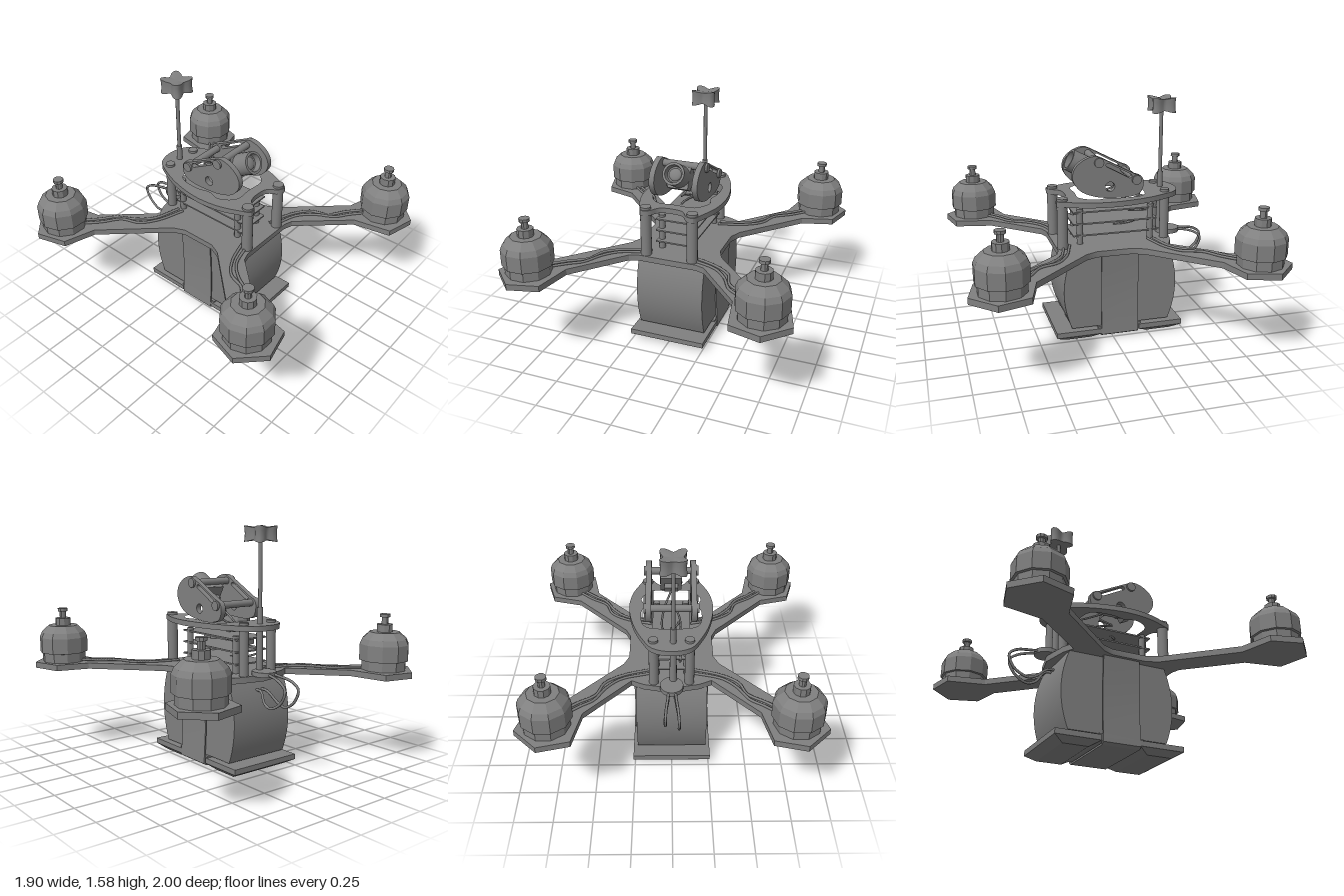
import * as THREE from 'three';
import { toCreasedNormals } from 'three/addons/utils/BufferGeometryUtils.js';

const grey = new THREE.MeshStandardMaterial({ color: 0x808080 });
const facet = new THREE.MeshStandardMaterial({ color: 0x808080, flatShading: true });
const V2 = (p) => new THREE.Vector2(...p);
const V3 = (p) => new THREE.Vector3(...p);

export function createModel() {
  const root = new THREE.Group();

  function add(name, geo, pos = [0, 0, 0], mat = grey, parent = root) {
    const m = new THREE.Mesh(geo, mat);
    m.name = name;
    m.position.set(...pos);
    parent.add(m);
    return m;
  }
  const cyl = (r, h, n = 16, r2 = r) => new THREE.CylinderGeometry(r2, r, h, n);
  const box = (w, h, d) => new THREE.BoxGeometry(w, h, d);
  const extrude = (shape, depth) =>
    toCreasedNormals(new THREE.ExtrudeGeometry(shape, { depth, bevelEnabled: false, curveSegments: 12 }), 0.5);
  // outline in x,z laid flat with its upper face at y = top
  const flat = (shape, top, t) => extrude(shape, t).rotateX(Math.PI / 2).translate(0, top, 0);
  // outline in z,y with its thickness centred on x
  const upright = (shape, t) => extrude(shape, t).rotateY(-Math.PI / 2).translate(t / 2, 0, 0);
  const mirrorX = (half) => [...half, ...half.slice().reverse().filter((p) => p[0] > 0).map(([x, z]) => [-x, z])];
  const smooth = (pts, closed, n) =>
    new THREE.CatmullRomCurve3(pts.map(([a, b]) => V3([a, b, 0])), closed).getPoints(n).map((p) => V2([p.x, p.y]));
  function wire(name, pts, r = 0.009) {
    add(name, new THREE.TubeGeometry(new THREE.CatmullRomCurve3(pts.map(V3)), 40, r, 6));
  }

  // X-shaped base plate with a pad at the end of each arm
  const quarter = [[0.26, 0.38], [0.55, 0.7], [0.6, 0.95], [0.8, 1], [0.95, 0.85], [0.89, 0.65],
    [0.68, 0.59], [0.32, 0.2], [0.285, 0.12]];
  const half = [[0, 0.36], [0.2, 0.36], ...quarter,
    ...quarter.slice().reverse().map(([x, z]) => [x, -z]), [0.18, -0.42], [0, -0.46]];
  add('basePlate', flat(new THREE.Shape(mirrorX(half).map(V2)), 0.64, 0.04));

  // Ring-shaped top plate
  const top = new THREE.Shape(smooth(mirrorX([[0, 0.27], [0.08, 0.285], [0.13, 0.35], [0.18, 0.36], [0.21, 0.3],
    [0.26, 0.17], [0.28, 0], [0.25, -0.2], [0.19, -0.36], [0.12, -0.47], [0, -0.505]]), true, 80));
  top.holes.push(new THREE.Path(smooth(mirrorX([[0, 0.2], [0.13, 0.2], [0.2, 0.1], [0.18, 0.02], [0.2, -0.08],
    [0.17, -0.23], [0, -0.26]]), true, 60)));
  add('topPlate', flat(top, 0.965, 0.035));

  // Standoffs with bolt heads, and the circuit stack
  for (const s of [-1, 1]) {
    for (const [x, z, r] of [[0.16, 0.32, 0.036], [0.115, -0.395, 0.031]]) {
      add('standoff', cyl(r, 0.3, 16), [s * x, 0.785, z]);
      add('boltHead', cyl(r, 0.018, 16), [s * x, 0.972, z]);
    }
    for (const z of [0.19, -0.3]) add('stackPost', cyl(0.022, 0.245, 10), [s * 0.1, 0.76, z]);
  }
  for (const y of [0.7, 0.78, 0.86]) add('circuitBoard', box(0.25, 0.01, 0.58), [0, y, -0.05]);

  // Motors, faceted, one per pad
  const motor = new THREE.LatheGeometry([[0, 0], [0.148, 0], [0.148, 0.062], [0.164, 0.065], [0.164, 0.17],
    [0.148, 0.205], [0.1, 0.25], [0.052, 0.25], [0.052, 0.3], [0.022, 0.3], [0.022, 0.345], [0.034, 0.347],
    [0.034, 0.367], [0, 0.367]].map(V2), 10).rotateY(Math.PI / 2);
  for (const sx of [-1, 1]) {
    for (const sz of [-1, 1]) {
      add('motor', motor, [sx * 0.757, 0.64, sz * 0.8], facet);
      wire('motorWire', [[0.66, 0.65, 0.72], [0.57, 0.648, 0.64], [0.49, 0.647, 0.58], [0.42, 0.647, 0.46],
        [0.33, 0.646, 0.37], [0.14, 0.647, 0.31]].map(([x, y, z]) => [sx * x, y, sz * z]));
      wire('motorWire', [[0.69, 0.65, 0.7], [0.59, 0.648, 0.61], [0.48, 0.647, 0.53], [0.43, 0.647, 0.41],
        [0.32, 0.646, 0.33], [0.14, 0.647, 0.27]].map(([x, y, z]) => [sx * x, y, sz * z]));
    }
  }

  // Battery with bulged ends
  const pack = new THREE.Shape();
  pack.moveTo(-0.395, 0.085);
  pack.lineTo(0.28, 0.085);
  pack.quadraticCurveTo(0.385, 0.34, 0.28, 0.597);
  pack.lineTo(-0.395, 0.597);
  pack.quadraticCurveTo(-0.497, 0.34, -0.395, 0.085);
  add('battery', upright(pack, 0.465));

  // Strap looped round the battery
  const strap = new THREE.Shape(mirrorX([[0, 0.015], [0.24, 0.015], [0.264, 0.03], [0.262, 0.07], [0.252, 0.25],
    [0.254, 0.45], [0.262, 0.605], [0, 0.605]]).map(V2));
  strap.holes.push(new THREE.Path(mirrorX([[0, 0.027], [0.234, 0.027], [0.253, 0.04], [0.252, 0.07], [0.243, 0.25],
    [0.245, 0.45], [0.253, 0.598], [0, 0.598]]).map(V2)));
  add('strap', extrude(strap, 0.255), [0, 0, -0.173]);

  // Landing pads tapering downwards
  add('skidPlate', box(0.5, 0.05, 0.3), [0, 0.06, -0.045]);
  for (const [z, d] of [[0.235, 0.31], [-0.335, 0.305]]) {
    add('padTop', box(0.52, 0.035, d), [0, 0.055, z]);
    const g = box(0.52, 0.037, d);
    const p = g.attributes.position;
    for (let i = 0; i < p.count; i++) {
      if (p.getY(i) < 0) p.setXYZ(i, p.getX(i) * 0.83, p.getY(i), p.getZ(i) * 0.56);
    }
    add('padTaper', g, [0, 0.0185, z], facet);
  }

  // Camera cage: two slotted side plates joined by bars
  const cheek = new THREE.Shape(smooth([[0.06, 1.23], [0.1, 1.243], [0.17, 1.225], [0.235, 1.17], [0.25, 1.1],
    [0.2, 1.02], [0.1, 0.975], [0, 0.96], [-0.15, 0.96], [-0.21, 0.985], [-0.23, 1.05], [-0.215, 1.09],
    [-0.17, 1.11]], false, 60).reverse());
  const hole = new THREE.Path();
  hole.absarc(0, 1.035, 0.032, 0, Math.PI * 2);
  const slot = new THREE.Path();
  const tilt = 0.5;
  slot.absarc(0.015, 1.18, 0.013, tilt - Math.PI / 2, tilt + Math.PI / 2);
  slot.absarc(-0.135, 1.098, 0.013, tilt + Math.PI / 2, tilt + Math.PI * 1.5);
  cheek.holes.push(hole, slot);
  const cheekGeo = upright(cheek, 0.036);
  for (const s of [-1, 1]) add('cameraSidePlate', cheekGeo, [s * 0.147, 0, 0]);
  for (const [y, z] of [[1.2, 0.075], [1.07, -0.18]]) {
    add('cageBar', cyl(0.024, 0.33).rotateZ(Math.PI / 2), [0, y, z]);
    for (const s of [-1, 1]) add('cageBolt', cyl(0.032, 0.02).rotateZ(Math.PI / 2), [s * 0.169, y, z]);
  }

  // Tilted camera with a recessed lens
  const camera = new THREE.Group();
  camera.name = 'camera';
  camera.position.set(0, 1.12, 0.1);
  camera.rotation.x = -tilt;
  root.add(camera);
  add('cameraBody', box(0.14, 0.15, 0.07), [0, -0.005, 0], grey, camera);
  add('cameraSocket', box(0.09, 0.05, 0.04), [0, -0.02, -0.05], grey, camera);
  const barrel = new THREE.LatheGeometry([[0, -0.03], [0.074, -0.03], [0.074, 0.155], [0.058, 0.155],
    [0.052, 0.115], [0, 0.115]].map(V2), 20).rotateX(Math.PI / 2);
  add('lensBarrel', toCreasedNormals(barrel, 0.5), [0, 0, 0], grey, camera);
  add('lens', new THREE.SphereGeometry(0.042, 16, 8, 0, Math.PI * 2, 0, Math.PI / 2).scale(1, 0.4, 1)
    .rotateX(Math.PI / 2), [0, 0, 0.114], grey, camera);

  // Antenna with a four-lobed head
  add('antennaSocket', cyl(0.024, 0.42, 12, 0.019), [-0.01, 0.86, -0.405]);
  add('antennaMast', cyl(0.013, 0.5, 10), [-0.01, 1.28, -0.405]);
  add('antennaConnector', cyl(0.075, 0.03, 16).scale(1, 1, 1.1), [0, 0.654, -0.46]);
  const head = new THREE.CylinderGeometry(1, 1, 1, 32, 4);
  const hp = head.attributes.position;
  for (let i = 0; i < hp.count; i++) {
    const [x, y, z] = [hp.getX(i), hp.getY(i), hp.getZ(i)];
    const lobe = 0.5 - 0.5 * Math.cos(4 * Math.atan2(z, x));
    const rim = Math.hypot(x, z);
    const r = (0.06 + 0.045 * lobe) * (0.95 + 0.2 * y * y);
    hp.setXYZ(i, x * r, y * (0.075 + 0.028 * lobe * rim), z * r);
  }
  add('antennaHead', toCreasedNormals(head, 0.9), [-0.01, 1.53, -0.405]);

  // Power leads curling out behind the battery
  for (const [x, dz] of [[-0.045, 0], [0.04, 0.03]]) {
    wire('powerLead', [[x * 0.5, 0.54, -0.38], [x * 0.6, 0.535, -0.46], [x, 0.47, -0.54 + dz],
      [x * 1.1, 0.45, -0.6 + dz], [x, 0.5, -0.69 + dz], [x, 0.585, -0.725 + dz], [x * 0.9, 0.625, -0.68 + dz],
      [x * 0.6, 0.65, -0.56], [x * 0.4, 0.66, -0.4]]);
  }

  // Loose camera wires hanging down into the stack
  wire('cameraWire', [[0, 1.08, 0.02], [0.05, 1.02, -0.13], [0.06, 0.96, -0.24], [0.02, 0.9, -0.2],
    [-0.05, 0.87, -0.05], [-0.04, 0.83, 0.02], [-0.05, 0.8, -0.2], [-0.06, 0.77, -0.35], [-0.04, 0.72, -0.22],
    [-0.04, 0.705, -0.08]], 0.007);
  wire('cameraWire', [[-0.02, 1.08, 0.02], [0, 1, -0.08], [-0.03, 0.95, 0], [-0.06, 0.91, -0.1],
    [-0.05, 0.865, -0.22]], 0.007);

  return root;
}
